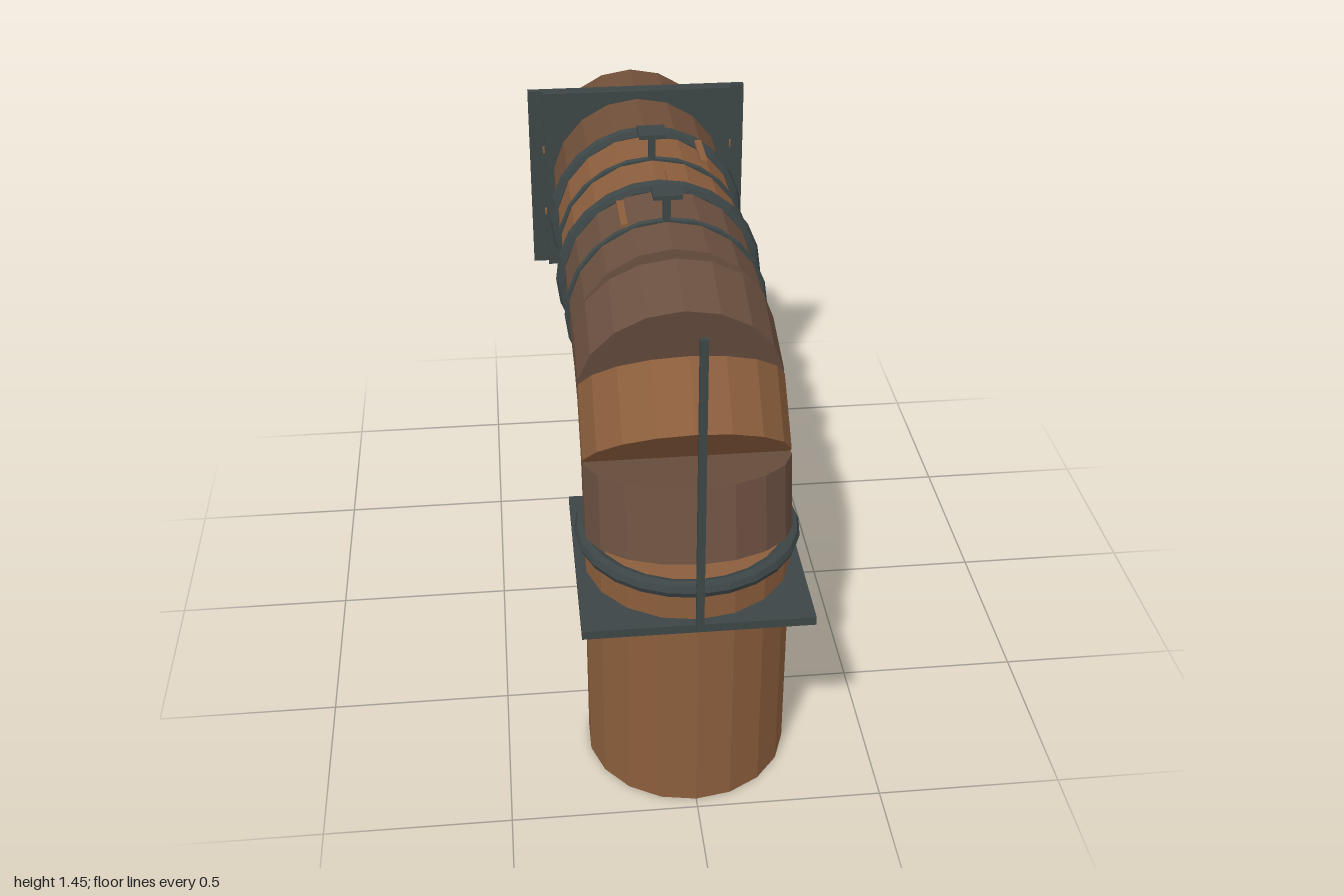
import * as THREE from 'three';

const R = 0.275, SIDES = 18;
const AXIS_Y = 1.08, AXIS_Z = 0.695;

function material(name, color) {
  const m = new THREE.MeshStandardMaterial({ color, flatShading: true });
  m.name = name;
  return m;
}

export function createModel() {
  const group = new THREE.Group();
  const copper = material('light rust brown', 0x8b5e3c);
  const dull = material('dull brown', 0x6b5040);
  const rear = material('mid brown', 0x6f4f39);
  const slate = material('dark slate', 0x3c4546);

  function add(name, geometry, mat, x, y, z, rx = 0) {
    const mesh = new THREE.Mesh(geometry, mat);
    mesh.name = name;
    mesh.position.set(x, y, z);
    mesh.rotation.x = rx;
    group.add(mesh);
    return mesh;
  }
  const box = (name, mat, w, h, d, x, y, z) =>
    add(name, new THREE.BoxGeometry(w, h, d), mat, x, y, z);
  const pipe = (name, mat, length, y, z, rx) =>
    add(name, new THREE.CylinderGeometry(R, R, length, SIDES), mat, 0, y, z, rx);
  const ring = (name, tube, y, z, rx = 0) =>
    add(name, new THREE.TorusGeometry(R, tube, tube > 0.015 ? 8 : 6, 24), slate, 0, y, z, rx);

  // Upright pipe
  pipe('uprightPipe', copper, 0.73, 0.365, AXIS_Z, 0);

  // Elbow of three straight segments around a bend centre
  [15, 45, 75].forEach((deg, i) => {
    const a = THREE.MathUtils.degToRad(deg);
    pipe('elbowSegment' + (i + 1), i === 1 ? copper : dull, 0.2,
      0.73 + 0.35 * Math.sin(a), 0.345 + 0.35 * Math.cos(a), -a);
  });

  // Horizontal run, given as front and back z of each section
  [[0.345, -0.05, dull], [-0.05, -0.45, copper], [-0.45, -1, rear]].forEach(([z0, z1, mat], i) =>
    pipe('horizontalPipe' + (i + 1), mat, z0 - z1, AXIS_Y, (z0 + z1) / 2, -Math.PI / 2));

  // Joint rings
  ring('uprightJointRing', 0.023, 0.718, AXIS_Z, Math.PI / 2);
  for (const z of [-0.05, -0.45]) ring('jointRing', 0.023, AXIS_Y, z);

  // Hanger straps with a short post and top plate
  for (const z of [0.17, -0.25]) {
    ring('hangerStrap', 0.01, AXIS_Y, z);
    box('hangerPost', slate, 0.02, 0.09, 0.02, 0, 1.395, z);
    box('hangerPlate', slate, 0.08, 0.012, 0.08, 0, 1.439, z);
  }

  // Floor flange and its upright rod
  box('floorFlange', slate, 0.596, 0.024, 0.6, 0, 0.608, 0.692);
  box('supportRod', slate, 0.02, 0.84, 0.016, 0, 1.025, 0.992);

  // Double wall flange with small bolts on its edges
  box('innerWallFlange', slate, 0.596, 0.595, 0.026, 0, AXIS_Y + 0.003, -0.747);
  box('outerWallFlange', slate, 0.69, 0.595, 0.02, 0, AXIS_Y + 0.003, -0.772);
  for (const x of [-0.298, 0.298])
    for (const dy of [-0.107, 0.107])
      box('flangeBolt', copper, 0.012, 0.018, 0.016, x, AXIS_Y + dy, -0.748);

  // Rust streaks on top of the run
  for (const [x, z] of [[0.15, -0.293], [0.04, -0.09], [-0.117, 0.113]])
    box('rustStreak', copper, 0.02, 0.009, 0.155, x, 1.354, z);

  return group;
}
